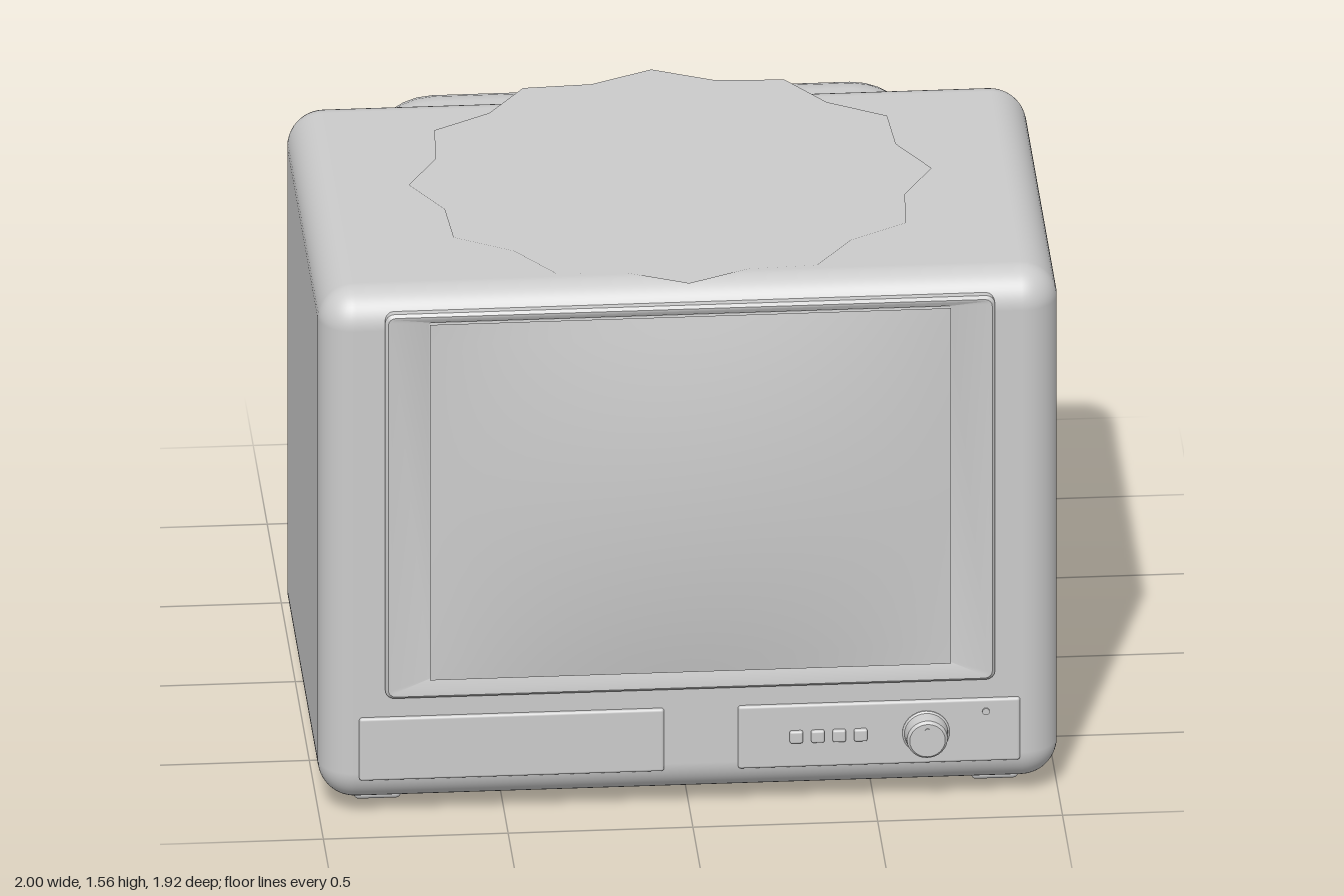
import * as THREE from 'three';
import { RoundedBoxGeometry } from 'three/addons/geometries/RoundedBoxGeometry.js';
import { toCreasedNormals } from 'three/addons/utils/BufferGeometryUtils.js';

const grey = new THREE.MeshStandardMaterial({ color: 0xcccccc });
const thin = new THREE.MeshStandardMaterial({ color: 0xcccccc, side: THREE.DoubleSide });

export function createModel() {
  const model = new THREE.Group();

  const add = (name, geometry, material = grey) => {
    const mesh = new THREE.Mesh(geometry, material);
    mesh.name = name;
    model.add(mesh);
    return mesh;
  };
  // rounded box given by its extents
  const box = (name, x0, x1, y0, y1, z0, z1, radius, segments = 3) =>
    add(name, new RoundedBoxGeometry(x1 - x0, y1 - y0, z1 - z0, segments, radius))
      .position.set((x0 + x1) / 2, (y0 + y1) / 2, (z0 + z1) / 2);

  // cabinet and the tube housing behind it
  box('cabinet', -1, 1, 0.04, 1.558, -0.385, 0.893, 0.1, 6);
  box('tubeHousing', -0.755, 0.755, 0.17, 1.35, -0.964, -0.18, 0.19, 4);

  // screen frame: rounded rectangles [half width, bottom, top, corner, z] joined in order
  const rings = [
    [0.825, 0.365, 1.51, 0.025, 0.88],
    [0.825, 0.365, 1.51, 0.025, 0.9],
    [0.817, 0.373, 1.502, 0.02, 0.908],
    [0.807, 0.383, 1.496, 0.015, 0.907],
    [0.705, 0.42, 1.48, 0.005, 0.895],
  ];
  const steps = 4, count = 4 * (steps + 1);
  const points = [], index = [];
  rings.forEach(([w, bottom, top, r, z], k) => {
    for (let c = 0; c < 4; c++) {
      const cx = (c === 0 || c === 3 ? 1 : -1) * (w - r);
      const cy = c < 2 ? top - r : bottom + r;
      for (let s = 0; s <= steps; s++) {
        const a = (c + s / steps) * Math.PI / 2;
        points.push(cx + r * Math.cos(a), cy + r * Math.sin(a), z);
      }
    }
    if (k === 0) return;
    for (let i = 0; i < count; i++) {
      const a = (k - 1) * count + i, b = (k - 1) * count + (i + 1) % count;
      index.push(a, b, b + count, a, b + count, a + count);
    }
  });
  const frame = new THREE.BufferGeometry();
  frame.setAttribute('position', new THREE.Float32BufferAttribute(points, 3));
  frame.setIndex(index);
  add('screenFrame', toCreasedNormals(frame, 0.5));

  // bulging screen glass
  const glass = new THREE.PlaneGeometry(1.41, 1.06, 24, 18);
  const p = glass.attributes.position;
  for (let i = 0; i < p.count; i++) {
    const u = p.getX(i) / 0.705, v = p.getY(i) / 0.53;
    p.setZ(i, 0.05 * (1 - u * u) * (1 - v * v));
  }
  glass.computeVertexNormals();
  add('screen', glass, thin).position.set(0, 0.95, 0.909);

  // lower front panels
  box('speakerPanel', -0.895, -0.07, 0.122, 0.308, 0.87, 0.903, 0.008);
  box('controlPanel', 0.13, 0.893, 0.122, 0.308, 0.87, 0.903, 0.008);

  // push buttons
  for (let i = 0; i < 4; i++) {
    const x = 0.287 + i * 0.058;
    box('button', x - 0.018, x + 0.018, 0.197, 0.233, 0.89, 0.914, 0.006);
  }

  // tuning knob, its pointer dot and the power light
  const knobProfile = [[0.064, 0.89], [0.064, 0.906], [0.059, 0.91], [0.055, 0.949], [0.048, 0.957], [0, 0.957]]
    .map(([r, z]) => new THREE.Vector2(r, z));
  const knob = add('knob', toCreasedNormals(new THREE.LatheGeometry(knobProfile, 32), 0.6));
  knob.rotation.x = Math.PI / 2;
  knob.position.set(0.638, 0.215, 0);

  const dot = (name, x, y, z, r) => {
    const mesh = add(name, new THREE.CylinderGeometry(r, r, 0.012, 16));
    mesh.rotation.x = Math.PI / 2;
    mesh.position.set(x, y, z);
  };
  dot('knobPointer', 0.638, 0.244, 0.954, 0.007);
  dot('powerLight', 0.8, 0.272, 0.902, 0.01);

  // feet
  for (const x of [-0.835, 0.835]) {
    for (const z of [0.698, -0.325]) {
      box('foot', x - 0.064, x + 0.064, 0, 0.036, z - 0.064, z + 0.064, 0.014, 2);
      box('footStem', x - 0.045, x + 0.045, 0.02, 0.075, z - 0.045, z + 0.045, 0.004, 1);
    }
  }

  // thin twelve-pointed cloth lying on top
  const star = new THREE.Shape();
  for (let i = 0; i < 24; i++) {
    const r = i % 2 ? 0.62 : 0.68, a = i * Math.PI / 12;
    const x = 1.04 * r * Math.sin(a), y = r * Math.cos(a);
    if (i) star.lineTo(x, y); else star.moveTo(x, y);
  }
  star.closePath();
  const cloth = add('topCloth', new THREE.ShapeGeometry(star), thin);
  cloth.rotation.x = -Math.PI / 2;
  cloth.position.set(0, 1.56, 0.19);

  return model;
}
